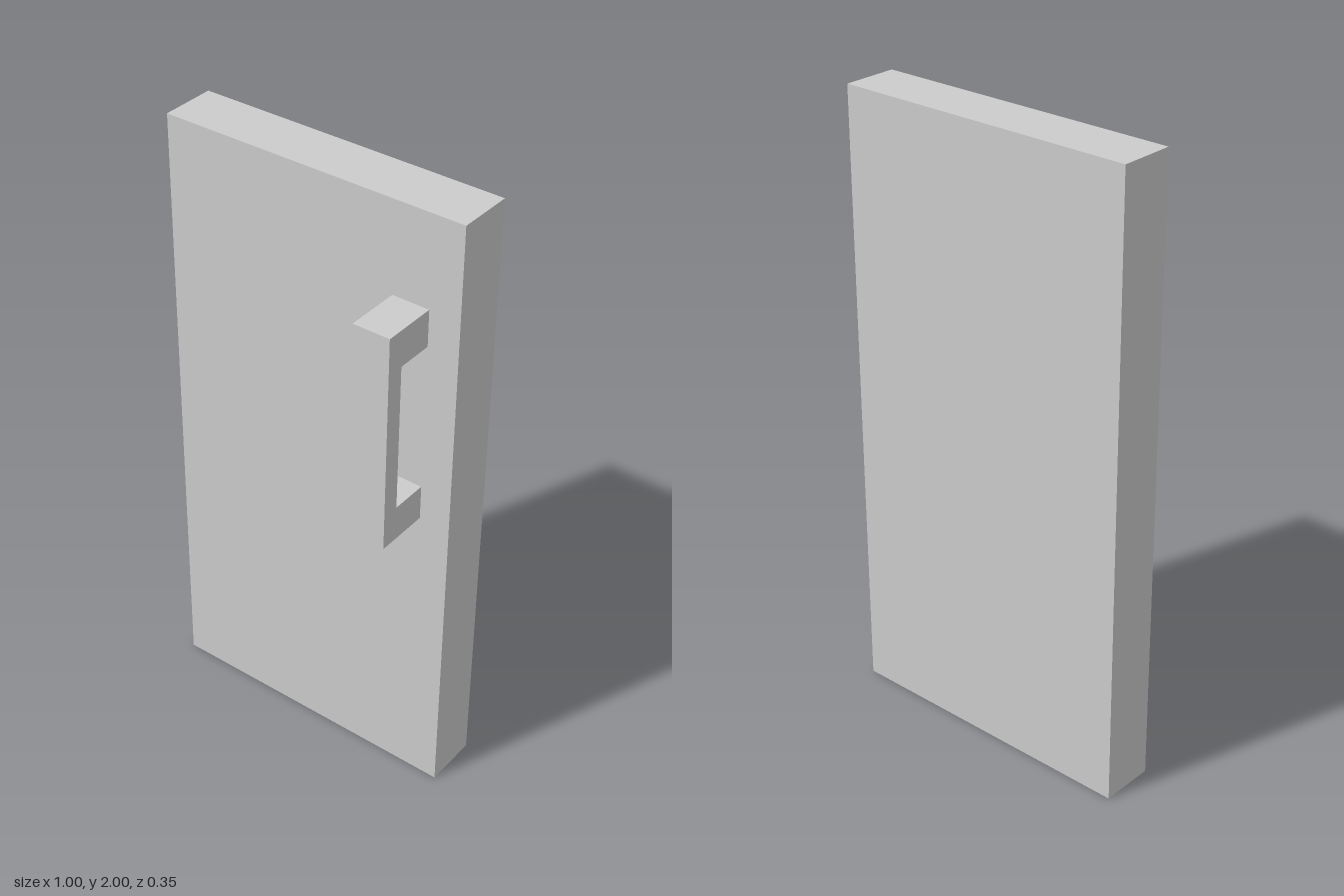
import * as THREE from 'three';

export function createModel() {
  const group = new THREE.Group();
  const material = new THREE.MeshStandardMaterial({ color: 0xcccccc, flatShading: true });
  const thickness = 0.177;

  // Flat door slab, its front face at z = 0
  const panel = new THREE.Mesh(new THREE.BoxGeometry(1, 2, thickness), material);
  panel.name = 'doorPanel';
  panel.position.set(0, 1, -thickness / 2);
  group.add(panel);

  // Square pull handle: a C-shaped side profile (z, y) extruded across x
  const profile = new THREE.Shape([
    [0, 1.005], [thickness, 1.005], [thickness, 1.71], [0, 1.71],
    [0, 1.593], [0.12, 1.593], [0.12, 1.118], [0, 1.118],
  ].map(([z, y]) => new THREE.Vector2(z, y)));
  const handleGeometry = new THREE.ExtrudeGeometry(profile, { depth: 0.12, bevelEnabled: false });
  handleGeometry.rotateY(-Math.PI / 2);
  const handle = new THREE.Mesh(handleGeometry, material);
  handle.name = 'handle';
  handle.position.x = 0.4;
  group.add(handle);

  return group;
}
